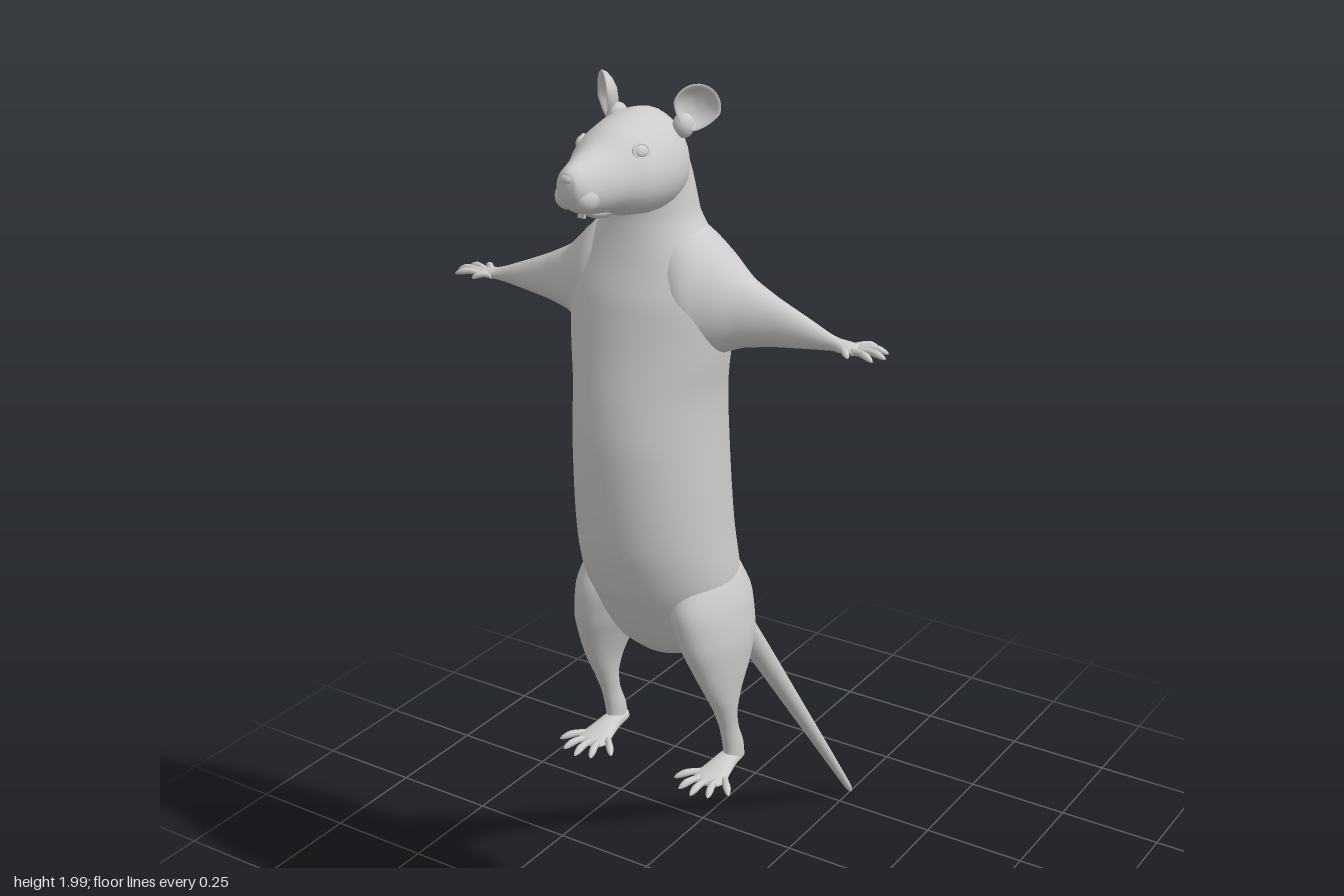
import * as THREE from 'three';

const grey = new THREE.MeshStandardMaterial({ color: 0xcccccc, roughness: 0.8 });
const thin = new THREE.MeshStandardMaterial({ color: 0xcccccc, roughness: 0.8, side: THREE.DoubleSide });
const V = (x, y, z) => new THREE.Vector3(x, y, z);
const X = V(1, 0, 0), Y = V(0, 1, 0), Z = V(0, 0, 1);

function mesh(name, geometry, material = grey) {
  const m = new THREE.Mesh(geometry, material);
  m.name = name;
  return m;
}

// Smooth closed skin over elliptical sections [x, y, z, radius along u, radius along v].
// pinch narrows the sections towards +v.
function loft(name, rows, u, v, { sides = 32, steps = 5, pinch = 0 } = {}) {
  const centres = new THREE.CatmullRomCurve3(rows.map(r => V(r[0], r[1], r[2])));
  const radii = new THREE.CatmullRomCurve3(rows.map(r => V(r[3], r[4], 0)));
  const n = (rows.length - 1) * steps, pos = [], idx = [];
  for (let i = 0; i <= n; i++) {
    const c = centres.getPoint(i / n), r = radii.getPoint(i / n);
    for (let j = 0; j < sides; j++) {
      const a = j / sides * Math.PI * 2, s = Math.sin(a);
      const p = c.clone().addScaledVector(u, r.x * Math.cos(a) * (1 - pinch * s)).addScaledVector(v, r.y * s);
      pos.push(p.x, p.y, p.z);
    }
  }
  const first = centres.getPoint(0), last = centres.getPoint(1);
  const flip = u.clone().cross(v).dot(last.clone().sub(first)) < 0;
  const tri = (a, b, c) => flip ? idx.push(a, c, b) : idx.push(a, b, c);
  pos.push(...first.toArray(), ...last.toArray());
  const start = (n + 1) * sides, end = start + 1;
  for (let j = 0; j < sides; j++) {
    const k = (j + 1) % sides;
    for (let i = 0; i < n; i++) {
      const a = i * sides + j, b = i * sides + k;
      tri(a, b, a + sides);
      tri(b, b + sides, a + sides);
    }
    tri(start, k, j);
    tri(end, n * sides + j, n * sides + k);
  }
  const g = new THREE.BufferGeometry();
  g.setAttribute('position', new THREE.Float32BufferAttribute(pos, 3));
  g.setIndex(idx);
  g.computeVertexNormals();
  return mesh(name, g);
}

// Finger or toe: knuckled taper from a to b, slightly arched
function digit(name, a, b, r) {
  const side = b.clone().sub(a).cross(Y).normalize();
  const rows = [[0, 1], [0.35, 0.85], [0.65, 0.95], [0.9, 0.6], [1, 0.1]].map(([t, k]) => {
    const p = a.clone().lerp(b, t);
    return [p.x, p.y + 0.006 * Math.sin(t * Math.PI), p.z, r * k, r * k];
  });
  const up = side.clone().cross(b.clone().sub(a)).normalize();
  return loft(name, rows, side, up, { sides: 10, steps: 3 });
}

function ball(name, p, r, scale = [1, 1, 1]) {
  const m = mesh(name, new THREE.SphereGeometry(r, 20, 14));
  m.position.copy(p);
  m.scale.set(...scale);
  return m;
}

// Torso and neck, given as [y, front z, back z, half width]
function torso() {
  const rows = [
    [0.795, 0.27, 0.24, 0.02], [0.81, 0.31, 0.19, 0.07], [0.85, 0.355, 0.15, 0.115], [0.92, 0.395, 0.125, 0.15],
    [1.0, 0.43, 0.128, 0.163], [1.1, 0.458, 0.138, 0.158], [1.3, 0.472, 0.145, 0.15], [1.4, 0.462, 0.152, 0.15],
    [1.5, 0.44, 0.163, 0.163], [1.6, 0.418, 0.175, 0.168], [1.68, 0.39, 0.192, 0.137], [1.75, 0.37, 0.21, 0.095],
    [1.82, 0.365, 0.225, 0.084], [1.9, 0.37, 0.252, 0.072], [1.94, 0.34, 0.285, 0.03]];
  return loft('torso', rows.map(([y, f, b, w]) => [0, y, (f + b) / 2, w, (f - b) / 2]), X, Z, { sides: 44 });
}

// Head given as [z, bottom y, top y, half width]
function head() {
  const g = new THREE.Group();
  g.name = 'head';
  const rows = [
    [0.245, 1.83, 1.87, 0.02], [0.262, 1.8, 1.92, 0.062], [0.3, 1.765, 1.946, 0.09], [0.35, 1.758, 1.95, 0.099],
    [0.42, 1.768, 1.934, 0.09], [0.47, 1.785, 1.91, 0.066], [0.515, 1.793, 1.897, 0.045], [0.545, 1.808, 1.888, 0.032],
    [0.558, 1.828, 1.878, 0.02], [0.561, 1.845, 1.862, 0.006]];
  g.add(loft('skull', rows.map(([z, b, t, w]) => [0, (b + t) / 2, z, w, (t - b) / 2]), X, Y, { pinch: 0.13 }));
  g.add(ball('nose', V(0, 1.866, 0.551), 0.015, [1.1, 0.8, 0.8]));
  g.add(ball('lowerJaw', V(0, 1.789, 0.45), 0.03, [0.9, 0.55, 1.5]));
  for (const s of [-1, 1]) {
    g.add(ball('muzzlePad', V(s * 0.02, 1.828, 0.525), 0.026, [0.9, 1, 1.1]));
    const tooth = mesh('tooth', new THREE.BoxGeometry(0.007, 0.022, 0.005));
    tooth.position.set(s * 0.004, 1.797, 0.515);
    g.add(tooth);

    // Eye with its lids
    const eye = new THREE.Group();
    eye.name = 'eye';
    eye.add(ball('eyeball', V(0, 0, 0), 0.014, [1, 0.85, 0.6]));
    const lid = mesh('eyelid', new THREE.TorusGeometry(0.0155, 0.0035, 8, 24));
    lid.scale.y = 0.85;
    eye.add(lid);
    eye.position.set(s * 0.067, 1.896, 0.421);
    eye.lookAt(s * 0.16, 1.94, 0.46);
    g.add(eye);

    // Cupped ear, narrowing to its root
    const profile = [[0, -0.02], [0.016, -0.018], [0.03, -0.011], [0.041, -0.002], [0.045, 0.006], [0.043, 0.009],
      [0.038, 0.004], [0.028, -0.006], [0.015, -0.012], [0, -0.014]].map(p => new THREE.Vector2(...p));
    const geo = new THREE.LatheGeometry(profile, 32).rotateX(Math.PI / 2);
    const p = geo.attributes.position;
    for (let i = 0; i < p.count; i++) {
      const t = Math.min(1, Math.max(0, -p.getY(i) / 0.045));
      p.setX(i, p.getX(i) * (1 - 0.35 * t));
      p.setZ(i, p.getZ(i) - 0.006 * t);
    }
    geo.computeVertexNormals();
    const ear = mesh('ear', geo, thin);
    ear.position.set(s * 0.1, 1.953, 0.29);
    ear.rotation.set(0, s * 0.75, -s * 0.3, 'YXZ');
    g.add(ear);
    g.add(ball('earRoot', V(s * 0.074, 1.918, 0.293), 0.022, [0.9, 1.1, 1]));
  }
  return g;
}

// Arm given as [x, bottom y, top y, back z, front z]
function arm(s) {
  const g = new THREE.Group();
  g.name = s > 0 ? 'leftArm' : 'rightArm';
  const rows = [
    [0.06, 1.45, 1.76, 0.19, 0.38], [0.11, 1.465, 1.725, 0.19, 0.385], [0.15, 1.485, 1.69, 0.2, 0.362],
    [0.2, 1.505, 1.645, 0.222, 0.328], [0.26, 1.516, 1.613, 0.238, 0.303], [0.33, 1.525, 1.583, 0.248, 0.29],
    [0.39, 1.533, 1.56, 0.258, 0.285], [0.42, 1.534, 1.554, 0.25, 0.292], [0.44, 1.535, 1.549, 0.25, 0.292],
    [0.449, 1.539, 1.545, 0.262, 0.28]];
  g.add(loft('armAndPalm', rows.map(([x, b, t, k, f]) => [s * x, (b + t) / 2, (k + f) / 2, (t - b) / 2, (f - k) / 2]), Y, Z));
  const fingers = [[0.42, 0.258, 0.458, 0.225], [0.434, 0.26, 0.488, 0.245], [0.436, 0.272, 0.497, 0.273],
    [0.432, 0.283, 0.484, 0.3], [0.405, 0.282, 0.436, 0.306]];
  for (const [x0, z0, x1, z1] of fingers)
    g.add(digit('finger', V(s * x0, 1.542, z0), V(s * x1, 1.538, z1), 0.0075));
  return g;
}

// Leg given as [y, x, half width, back z, front z]
function leg(s) {
  const g = new THREE.Group();
  g.name = s > 0 ? 'leftLeg' : 'rightLeg';
  const rows = [
    [1.04, 0.1, 0.03, 0.22, 0.32], [1.0, 0.105, 0.058, 0.175, 0.375], [0.94, 0.116, 0.066, 0.155, 0.392],
    [0.87, 0.13, 0.06, 0.16, 0.382], [0.8, 0.142, 0.043, 0.188, 0.356], [0.75, 0.148, 0.031, 0.222, 0.332],
    [0.7, 0.15, 0.023, 0.243, 0.304], [0.65, 0.15, 0.018, 0.236, 0.284], [0.6, 0.15, 0.019, 0.216, 0.272],
    [0.57, 0.15, 0.018, 0.214, 0.27], [0.56, 0.15, 0.01, 0.225, 0.26]];
  g.add(loft('thighAndShin', rows.map(([y, x, w, b, f]) => [s * x, y, (b + f) / 2, w, (f - b) / 2]), X, Z));
  // Foot given as [z, y, half width, half height]
  const foot = [[0.212, 0.573, 0.006, 0.006], [0.222, 0.573, 0.017, 0.016], [0.26, 0.573, 0.022, 0.018],
    [0.3, 0.567, 0.03, 0.015], [0.33, 0.562, 0.036, 0.011], [0.348, 0.561, 0.03, 0.008], [0.355, 0.56, 0.012, 0.003]];
  g.add(loft('foot', foot.map(([z, y, w, h]) => [s * 0.148, y, z, w, h]), X, Y));
  const toes = [[0.172, 0.315, 0.214, 0.364], [0.164, 0.338, 0.182, 0.394], [0.148, 0.342, 0.146, 0.405],
    [0.132, 0.338, 0.112, 0.395], [0.124, 0.315, 0.08, 0.364]];
  for (const [x0, z0, x1, z1] of toes)
    g.add(digit('toe', V(s * x0, 0.561, z0), V(s * x1, 0.558, z1), 0.0085));
  return g;
}

// Long straight tail with a flared root
function tail() {
  const rows = [[0.99, 0.235, 0.1], [0.935, 0.165, 0.078], [0.88, 0.105, 0.052], [0.83, 0.058, 0.037], [0.77, 0.01, 0.031],
    [0.6, -0.118, 0.026], [0.4, -0.266, 0.02], [0.2, -0.414, 0.014], [0.025, -0.543, 0.008], [0.008, -0.555, 0.005]];
  return loft('tail', rows.map(([y, z, r]) => [0, y, z, r, r]), X, V(0, -0.59, 0.81).normalize(), { sides: 24 });
}

export function createModel() {
  const model = new THREE.Group();
  model.name = 'rodent';
  model.add(torso(), head(), tail());
  for (const s of [-1, 1]) model.add(arm(s), leg(s));
  return model;
}
